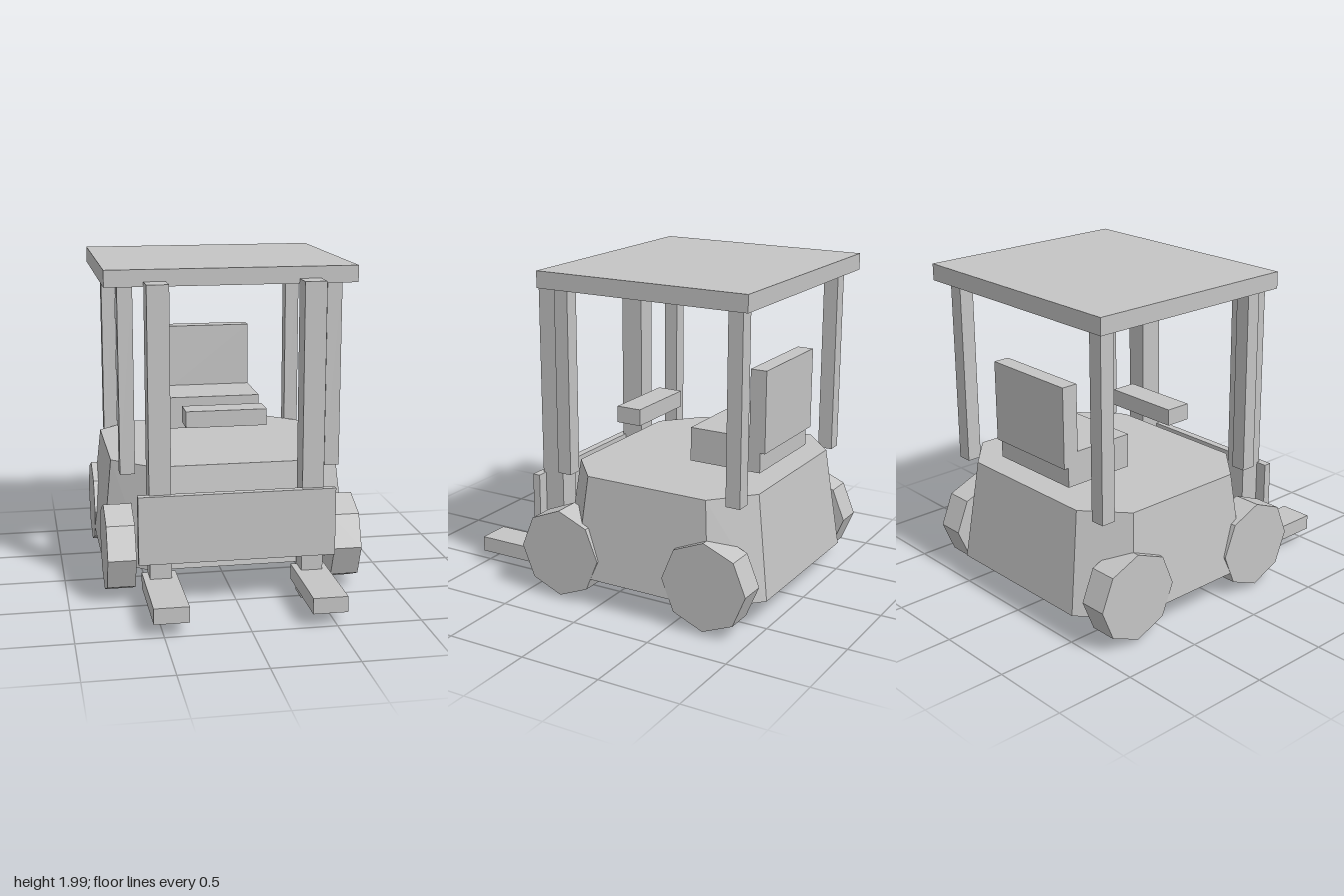
import * as THREE from 'three';
import { ConvexGeometry } from 'three/addons/geometries/ConvexGeometry.js';

export function createModel() {
  const model = new THREE.Group();
  model.name = 'forklift';
  const grey = new THREE.MeshStandardMaterial({ color: 0xc4c4c4, flatShading: true });
  grey.name = 'plain grey';

  const add = (name, geometry, x = 0, y = 0, z = 0) => {
    const mesh = new THREE.Mesh(geometry, grey);
    mesh.name = name;
    mesh.position.set(x, y, z);
    model.add(mesh);
  };

  // Box given by its limits on each axis
  const box = (name, [x0, x1], [y0, y1], [z0, z1]) =>
    add(name, new THREE.BoxGeometry(x1 - x0, y1 - y0, z1 - z0),
      (x0 + x1) / 2, (y0 + y1) / 2, (z0 + z1) / 2);

  // The same box on both sides
  const pair = (name, [x0, x1], ys, zs) => {
    box(name + 'Left', [x0, x1], ys, zs);
    box(name + 'Right', [-x1, -x0], ys, zs);
  };

  // Body: octagonal block that tapers towards the top
  const ring = (y, halfX, halfZ, cornerX, cornerZ) => {
    const points = [];
    for (const sx of [-1, 1]) for (const sz of [-1, 1]) {
      points.push(new THREE.Vector3(sx * halfX, y, sz * cornerZ));
      points.push(new THREE.Vector3(sx * cornerX, y, sz * halfZ));
    }
    return points;
  };
  add('body', new ConvexGeometry([
    ...ring(0.175, 0.77, 0.69, 0.51, 0.45),
    ...ring(0.795, 0.705, 0.605, 0.465, 0.393),
  ]), 0, 0, -0.31);

  // Wheels: eight-sided discs
  const wheel = new THREE.CylinderGeometry(0.27, 0.27, 0.17, 8).rotateZ(Math.PI / 2);
  for (const side of [-1, 1]) {
    const label = side > 0 ? 'Left' : 'Right';
    add('frontWheel' + label, wheel, side * 0.685, 0.295, 0.255);
    add('rearWheel' + label, wheel, side * 0.685, 0.295, -0.725);
  }

  // Cab roof and its posts
  box('roof', [-0.75, 0.75], [1.89, 1.99], [-0.967, 0.383]);
  pair('frontPost', [0.58, 0.67], [0.765, 1.89], [0.23, 0.32]);
  pair('rearPost', [0.58, 0.67], [0.765, 1.89], [-0.9, -0.81]);

  // Seat and steering console
  box('seatBase', [-0.312, 0.312], [0.86, 1.065], [-0.84, -0.385]);
  box('seatBack', [-0.312, 0.312], [0.98, 1.47], [-0.87, -0.77]);
  box('steeringConsole', [-0.25, 0.25], [0.995, 1.097], [0.005, 0.167]);

  // Lifting gear
  pair('mast', [0.393, 0.523], [0, 1.92], [0.39, 0.535]);
  box('carriagePlate', [-0.592, 0.592], [0.275, 0.69], [0.517, 0.565]);
  pair('fork', [0.355, 0.56], [0.08, 0.175], [0.41, 1]);

  return model;
}
